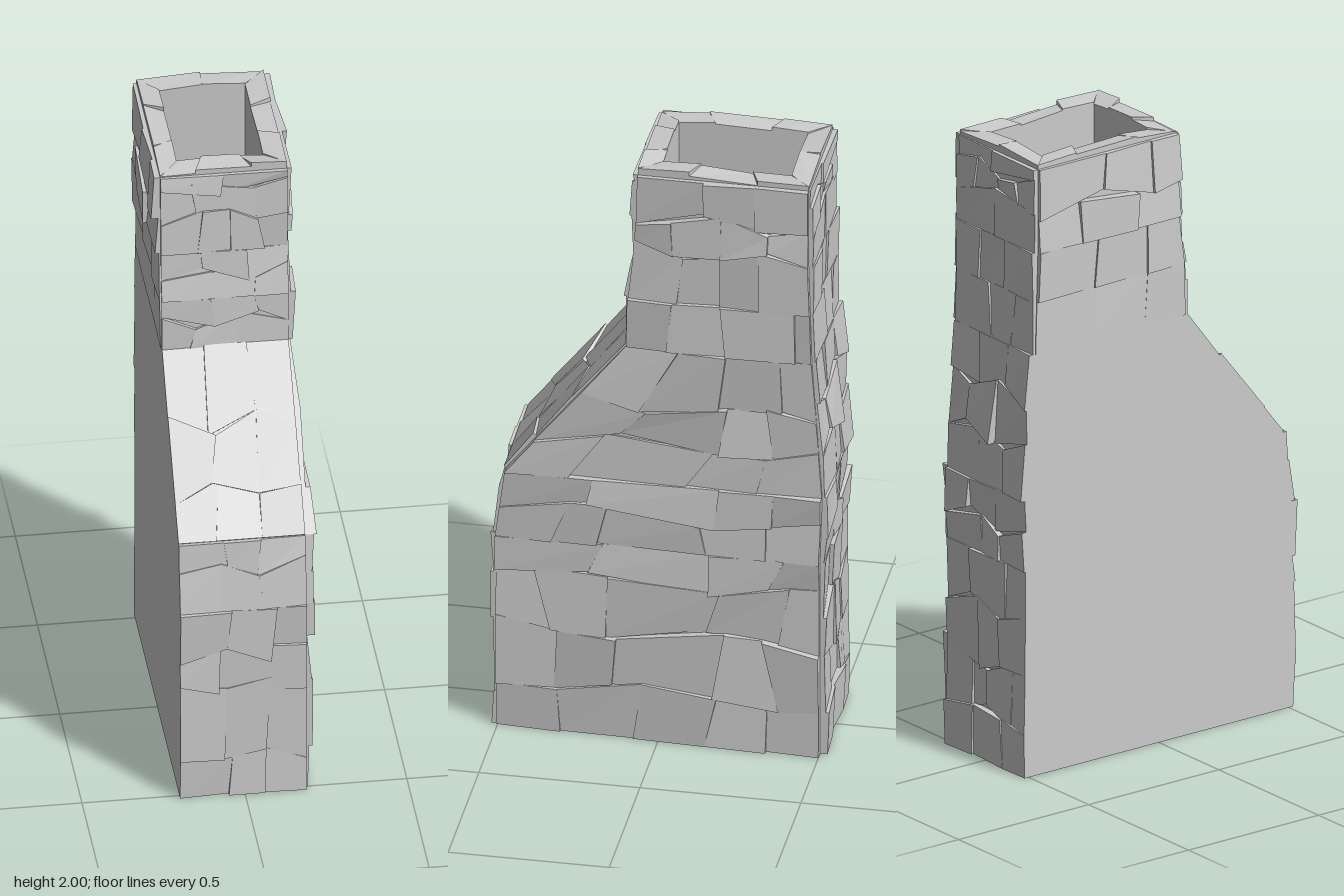
import * as THREE from 'three';

const X0 = -0.2, X1 = 0.19;
// Chimney outline: height, back z, front z
const LEVELS = [
  [0, -0.5, 0.505], [0.67, -0.5, 0.505], [0.9, -0.507, 0.475], [1.37, -0.475, 0.1],
  [1.54, -0.47, 0.095], [1.7, -0.465, 0.075], [1.97, -0.465, 0.065],
];

let seed = 11;
function rand(a = 0, b = 1) {
  seed = (seed * 16807) % 2147483647;
  return a + (b - a) * (seed / 2147483647);
}

const V = (x, y, z) => new THREE.Vector3(x, y, z);

// z of the outline at height y (side 1 = back, 2 = front)
function outline(y, side) {
  let i = 0;
  while (i < LEVELS.length - 2 && y > LEVELS[i + 1][0]) i++;
  const a = LEVELS[i], b = LEVELS[i + 1];
  return THREE.MathUtils.lerp(a[side], b[side], (y - a[0]) / (b[0] - a[0]));
}

function quad(out, a, b, c, d) {
  for (const p of [a, b, c, a, c, d]) out.push(p.x, p.y, p.z);
}

function meshFrom(positions, name) {
  const geometry = new THREE.BufferGeometry();
  geometry.setAttribute('position', new THREE.Float32BufferAttribute(positions, 3));
  geometry.computeVertexNormals();
  const mesh = new THREE.Mesh(geometry,
    new THREE.MeshStandardMaterial({ color: 0xcccccc, flatShading: true, side: THREE.DoubleSide }));
  mesh.name = name;
  return mesh;
}

// Slab on a four-cornered patch, tilted a little in both directions
function stone(out, corners, thick) {
  const [a, b, , d] = corners;
  const n = b.clone().sub(a).cross(d.clone().sub(a)).normalize();
  const t = rand(0.25, 0.8) * thick, tu = rand(-0.2, 0.2) * thick, tv = rand(-0.2, 0.2) * thick;
  const lift = [t - tu - tv, t + tu - tv, t + tu + tv, t - tu + tv];
  const top = corners.map((p, i) => p.clone().addScaledVector(n, Math.max(lift[i], 0.002)));
  quad(out, ...top);
  for (let i = 0; i < 4; i++) {
    const j = (i + 1) % 4;
    quad(out, corners[i], corners[j], top[j], top[i]);
  }
}

// Courses of stones; place(u, y) gives a point on the wall.
// Each course is [bottom y, top y, thickness, ...cuts along u].
// Course lines wander except at the bends of the outline.
function wall(name, place, courses) {
  const out = [];
  const bend = y => LEVELS.some(l => Math.abs(l[0] - y) < 0.005);
  const line = (y, u) => bend(y) ? y : y + 0.028 * Math.sin(u * 8 + y * 23);
  for (const [y0, y1, thick, ...cuts] of courses) {
    let low = 0, high = 0;
    for (const c of [...cuts, 1]) {
      const u0 = c === 1 ? 1 : c + rand(-0.035, 0.035);
      const u1 = c === 1 ? 1 : c + rand(-0.035, 0.035);
      stone(out, [
        place(low, line(y0, low)), place(u0, line(y0, u0)),
        place(u1, line(y1, u1)), place(high, line(y1, high)),
      ], thick);
      low = u0;
      high = u1;
    }
  }
  return meshFrom(out, name);
}

function ring(x0, x1, zb, zf, y) {
  return [V(x0, y, zf), V(x1, y, zf), V(x1, y, zb), V(x0, y, zb)];
}

export function createModel() {
  const group = new THREE.Group();
  group.name = 'stoneChimney';

  // Core: stacked rectangles, then over the rim and down into the flue
  const rings = LEVELS.map(([y, zb, zf]) => ring(X0, X1, zb, zf, y));
  const outer = rings[rings.length - 1];
  const inner = ring(-0.14, 0.125, -0.4, 0, 1.97);
  rings.push(inner, ring(-0.14, 0.125, -0.4, 0, 1.5));
  const core = [];
  for (let r = 0; r < rings.length - 1; r++) {
    for (let i = 0; i < 4; i++) {
      const j = (i + 1) % 4;
      quad(core, rings[r][i], rings[r][j], rings[r + 1][j], rings[r + 1][i]);
    }
  }
  quad(core, ...rings[rings.length - 1]);
  quad(core, ...rings[0].slice().reverse());
  group.add(meshFrom(core, 'core'));

  const lerp = THREE.MathUtils.lerp;
  // Front, with the sloping shoulder between 0.9 and 1.37
  group.add(wall('frontStones', (u, y) => V(lerp(X0, X1, u), y, outline(y, 2)), [
    [0, 0.14, 0.025, 0.42, 0.68], [0.14, 0.4, 0.025, 0.36, 0.7],
    [0.4, 0.51, 0.03, 0.34], [0.51, 0.67, 0.028, 0.4, 0.75],
    [0.67, 0.81, 0.022, 0.3, 0.66], [0.81, 0.9, 0.02, 0.35, 0.62],
    [0.9, 1.02, 0.02, 0.33, 0.67], [1.02, 1.18, 0.016, 0.33, 0.67],
    [1.18, 1.37, 0.014, 0.3, 0.68],
    [1.37, 1.46, 0.015, 0.25, 0.6], [1.46, 1.54, 0.015, 0.4, 0.75],
    [1.54, 1.62, 0.018, 0.42, 0.72], [1.62, 1.7, 0.02, 0.32, 0.7],
    [1.7, 1.83, 0.025, 0.3, 0.55, 0.8], [1.83, 1.92, 0.025, 0.25, 0.72],
    [1.92, 1.97, 0.02, 0.5],
  ]));

  // Right flank
  group.add(wall('rightStones', (u, y) => V(X1, y, lerp(outline(y, 2), outline(y, 1), u)), [
    [0, 0.17, 0.035, 0.2, 0.45, 0.68, 0.86], [0.17, 0.37, 0.038, 0.19, 0.34, 0.68, 0.85],
    [0.37, 0.55, 0.038, 0.15, 0.34, 0.67, 0.88], [0.55, 0.67, 0.036, 0.3, 0.65, 0.87],
    [0.67, 0.79, 0.038, 0.2, 0.34, 0.64, 0.83], [0.79, 0.9, 0.038, 0.27, 0.68, 0.85],
    [0.9, 1.04, 0.038, 0.23, 0.6, 0.8], [1.04, 1.17, 0.038, 0.3, 0.62, 0.82],
    [1.17, 1.37, 0.036, 0.27, 0.56, 0.84], [1.37, 1.54, 0.03, 0.25, 0.53, 0.9],
    [1.54, 1.72, 0.03, 0.25, 0.5, 0.72], [1.72, 1.83, 0.032, 0.24, 0.52, 0.76],
    [1.83, 1.97, 0.03, 0.4, 0.7],
  ]));

  // Back
  group.add(wall('backStones', (u, y) => V(lerp(X1, X0, u), y, outline(y, 1)), [
    [0, 0.16, 0.03, 0.35, 0.7], [0.16, 0.32, 0.03, 0.28, 0.55, 0.8],
    [0.32, 0.5, 0.03, 0.4, 0.65], [0.5, 0.67, 0.028, 0.3, 0.75],
    [0.67, 0.78, 0.028, 0.45, 0.7], [0.78, 0.9, 0.03, 0.3, 0.6],
    [0.9, 1.06, 0.03, 0.4, 0.72], [1.06, 1.22, 0.032, 0.25, 0.6],
    [1.22, 1.37, 0.03, 0.35, 0.68], [1.37, 1.54, 0.02, 0.45, 0.75],
    [1.54, 1.7, 0.025, 0.3, 0.62], [1.7, 1.83, 0.022, 0.5],
    [1.83, 1.91, 0.025, 0.25, 0.5, 0.78], [1.91, 1.97, 0.02, 0.45],
  ]));

  // Left side: only the stack is clad, the lower flank stays flat
  group.add(wall('leftStackStones', (u, y) => V(X0, y, lerp(outline(y, 1), outline(y, 2), u)), [
    [1.37, 1.54, 0.006, 0.35, 0.72], [1.54, 1.7, 0.022, 0.4, 0.75],
    [1.7, 1.83, 0.04, 0.28, 0.7], [1.83, 1.97, 0.035, 0.45, 0.78],
  ]));

  // Capstones around the flue opening, mitred at the corners
  const caps = [];
  const capCuts = [[0.28, 0.72], [0.3, 0.7], [0.5], [0.28, 0.72]];
  for (let i = 0; i < 4; i++) {
    const j = (i + 1) % 4;
    let u = 0;
    for (const c of [...capCuts[i], 1]) {
      stone(caps, [
        outer[i].clone().lerp(outer[j], u), outer[i].clone().lerp(outer[j], c),
        inner[i].clone().lerp(inner[j], c), inner[i].clone().lerp(inner[j], u),
      ], 0.032);
      u = c;
    }
  }
  group.add(meshFrom(caps, 'capstones'));
  return group;
}
